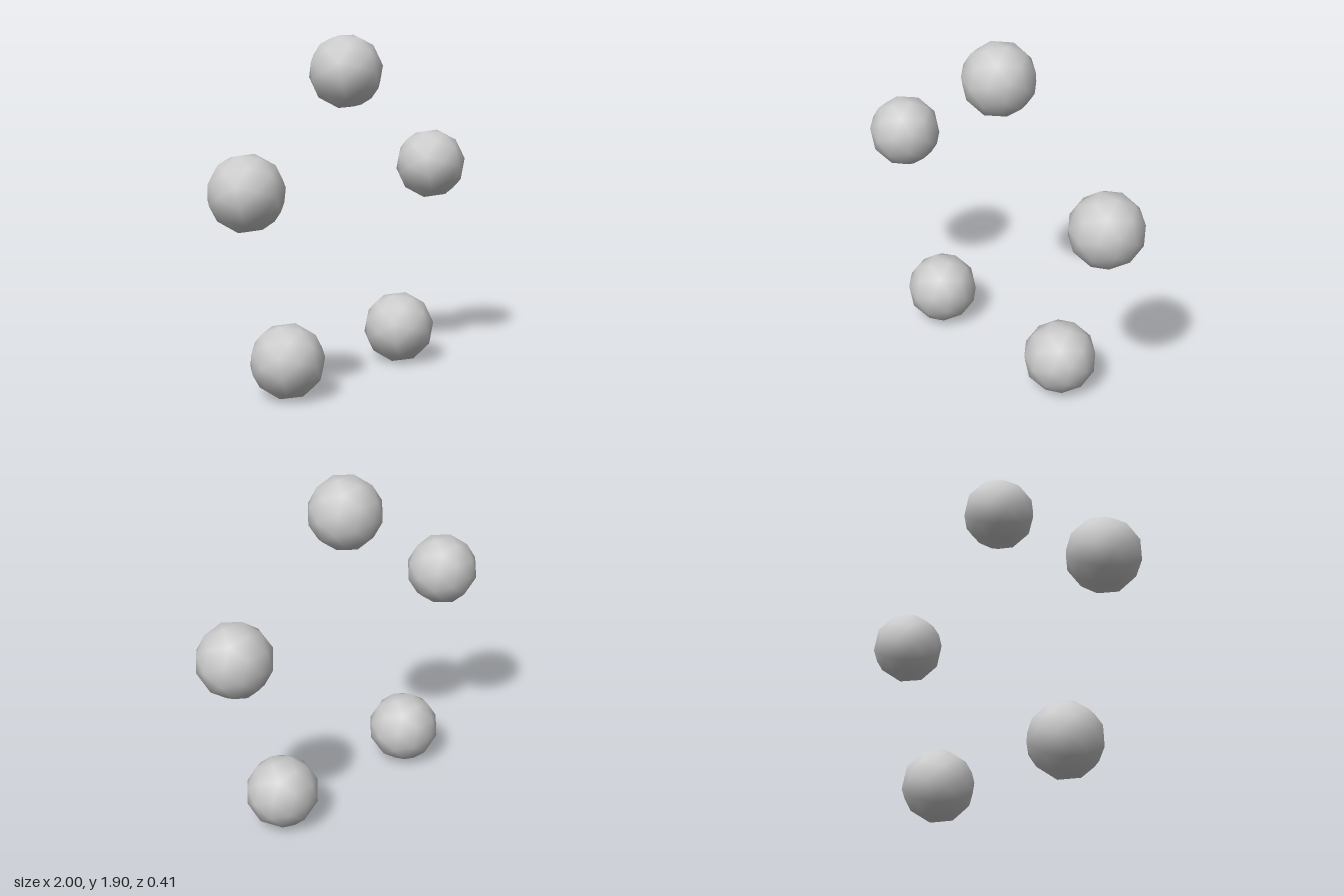
import * as THREE from 'three';

const BALL_RADIUS = 0.205;
const RING_RADIUS = 0.836;
const RING_CENTRE_Y = 0.871;
const COUNT = 5;

export function createModel() {
  const group = new THREE.Group();
  group.name = 'ballRing';
  const material = new THREE.MeshStandardMaterial({ color: 0xcccccc });

  // Smooth-shaded icosphere, turned so one corner points along +z
  const ball = new THREE.IcosahedronGeometry(BALL_RADIUS, 1);
  ball.rotateX(-Math.atan(2 / (1 + Math.sqrt(5))));

  // Five equal balls on an upright pentagon, the first at the top
  for (let i = 0; i < COUNT; i++) {
    const angle = (i / COUNT) * Math.PI * 2;
    const mesh = new THREE.Mesh(ball, material);
    mesh.name = `ball${i + 1}`;
    mesh.position.set(
      Math.sin(angle) * RING_RADIUS,
      RING_CENTRE_Y + Math.cos(angle) * RING_RADIUS,
      0
    );
    group.add(mesh);
  }
  return group;
}
